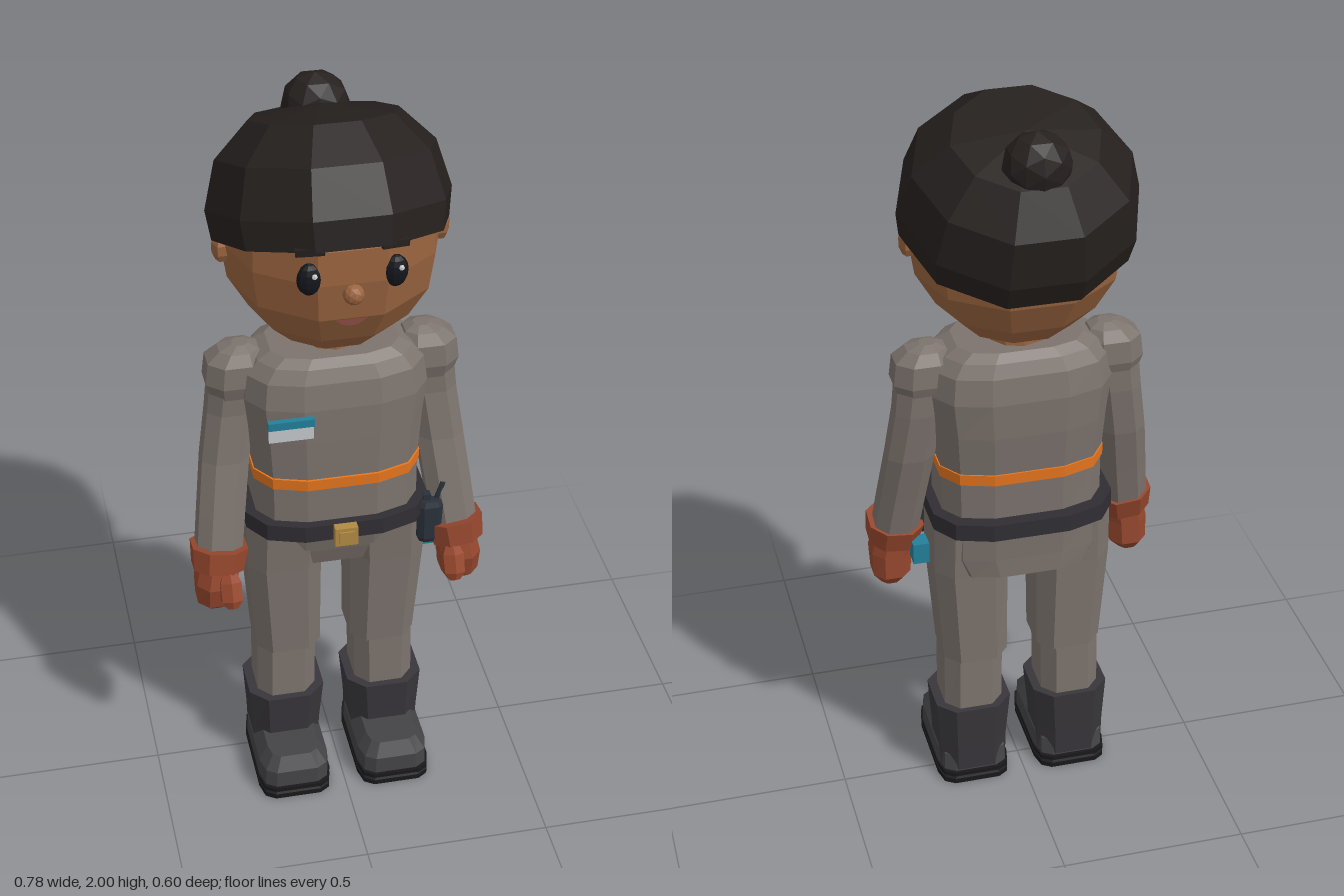
import * as THREE from 'three';

const C = {
  suit: 0x7c736d, skin: 0x9a643f, hair: 0x25201e, glove: 0x96472e, boot: 0x38363a, toe: 0x444346, sole: 0x19191b,
  belt: 0x302e33, orange: 0xe8761e, gold: 0xb08a42, teal: 0x22809a, paper: 0xc4c8cc, radio: 0x2a313b,
  eye: 0x15161c, lip: 0x8a4a42, white: 0xf4f4f4,
};
const mats = {};
const mat = (k) => (mats[k] ??= new THREE.MeshStandardMaterial({ color: C[k], flatShading: true }));

export function createModel() {
  const model = new THREE.Group();
  model.name = 'worker';

  const add = (name, geo, color, x = 0, y = 0, z = 0, parent = model) => {
    const m = new THREE.Mesh(geo, mat(color));
    m.name = name;
    m.position.set(x, y, z);
    parent.add(m);
    return m;
  };
  const group = (name) => {
    const g = new THREE.Group();
    g.name = name;
    model.add(g);
    return g;
  };
  const box = (w, h, d) => new THREE.BoxGeometry(w, h, d);

  // Skin over horizontal rounded rings [y, rx, rz, cx, cz], listed bottom to top
  const loft = (rings, n = 12, power = 0.65) => {
    const soft = (v) => Math.sign(v) * Math.abs(v) ** power;
    const pos = [], idx = [];
    const fit = soft(Math.cos(Math.PI / n)); // flats reach the full radius
    for (const [y, rx, rz, cx = 0, cz = 0] of rings)
      for (let j = 0; j < n; j++) {
        const t = ((j + 0.5) / n) * Math.PI * 2;
        pos.push(cx + (rx * soft(Math.cos(t))) / fit, y, cz + (rz * soft(Math.sin(t))) / fit);
      }
    const top = rings.length - 1, c = rings.length * n;
    for (const r of [rings[0], rings[top]]) pos.push(r[3] ?? 0, r[0], r[4] ?? 0);
    for (let j = 0; j < n; j++) {
      const k = (j + 1) % n;
      for (let i = 0; i < top; i++) {
        const a = i * n + j, b = i * n + k;
        idx.push(a, a + n, b, b, a + n, b + n);
      }
      idx.push(c, j, k, c + 1, top * n + k, top * n + j);
    }
    const g = new THREE.BufferGeometry();
    g.setAttribute('position', new THREE.Float32BufferAttribute(pos, 3));
    g.setIndex(idx);
    const flat = g.toNonIndexed();
    flat.computeVertexNormals();
    return flat;
  };

  // Ten-sided turned shape with a flat side to the front
  const turned = (pts) =>
    new THREE.LatheGeometry(pts.map(([r, y]) => new THREE.Vector2(r, y)), 10, Math.PI / 2);

  // Torso, stripe, belt and hips
  add('torso', loft([
    [0.84, 0.215, 0.14, 0, 0.018], [1.0, 0.215, 0.143, 0, 0.017], [1.14, 0.225, 0.152, 0, 0.012],
    [1.24, 0.237, 0.154, 0, 0.01], [1.31, 0.228, 0.142, 0, 0.01], [1.345, 0.2, 0.125, 0, 0.01],
    [1.365, 0.165, 0.105, 0, 0.01]]), 'suit');
  add('chestStripe', loft([[0.995, 0.219, 0.148, 0, 0.017], [1.027, 0.22, 0.15, 0, 0.017]]), 'orange');
  add('belt', loft([[0.842, 0.242, 0.17, 0, 0.012], [0.89, 0.242, 0.17, 0, 0.012]]), 'belt');
  add('buckle', box(0.06, 0.055, 0.025), 'gold', 0, 0.868, 0.2);
  add('bucklePlate', box(0.04, 0.035, 0.01), 'gold', 0, 0.868, 0.212);
  add('hips', loft([[0.705, 0.185, 0.115, 0, -0.015], [0.76, 0.215, 0.125, 0, -0.005], [0.85, 0.215, 0.14, 0, 0.005]]), 'suit');

  // Name badge on the right chest
  add('badge', box(0.115, 0.058, 0.012), 'paper', -0.138, 1.205, 0.182);
  add('badgeBand', box(0.118, 0.022, 0.016), 'teal', -0.138, 1.225, 0.183);

  // Radio and cloth hanging at the left hip
  const radio = group('radio');
  add('radioBody', loft([[0.745, 0.028, 0.022], [0.76, 0.035, 0.028], [0.86, 0.035, 0.028], [0.875, 0.028, 0.022]], 8),
    'radio', 0.247, 0, 0.1, radio);
  add('antenna', new THREE.CylinderGeometry(0.008, 0.01, 0.07, 6), 'radio', 0.272, 0.89, 0.1, radio).rotation.z = -0.25;
  add('radioKnob', box(0.02, 0.02, 0.02), 'radio', 0.238, 0.883, 0.1, radio);
  add('hipCloth', box(0.05, 0.06, 0.05), 'teal', 0.258, 0.72, 0.035);

  for (const s of [1, -1]) {
    const side = s > 0 ? 'left' : 'right';

    // Leg: thigh overlapping a slimmer shin
    const leg = group(side + 'Leg');
    add('thigh', loft([
      [0.41, 0.088, 0.094, s * 0.13, 0.006], [0.7, 0.1, 0.108, s * 0.14, 0.008], [0.84, 0.104, 0.118, s * 0.135, 0.01]], 8), 'suit', 0, 0, 0, leg);
    add('shin', loft([
      [0.2, 0.08, 0.088, s * 0.138, 0.006], [0.43, 0.081, 0.086, s * 0.135, 0.006]], 8), 'suit', 0, 0, 0, leg);

    // Boot
    const boot = group(side + 'Boot');
    add('bootShaft', loft([
      [0.04, 0.092, 0.094, s * 0.14, 0.006], [0.12, 0.094, 0.098, s * 0.14, 0.007], [0.25, 0.104, 0.105, s * 0.138, 0.008]], 8), 'boot', 0, 0, 0, boot);
    add('bootToe', loft([
      [0.03, 0.098, 0.16, s * 0.14, 0.072], [0.085, 0.096, 0.155, s * 0.14, 0.075], [0.122, 0.07, 0.125, s * 0.14, 0.08]], 12, 0.4), 'toe', 0, 0, 0, boot);
    add('sole', loft([
      [0, 0.1, 0.168, s * 0.14, 0.072], [0.015, 0.1, 0.168, s * 0.14, 0.072], [0.018, 0.092, 0.16, s * 0.14, 0.072],
      [0.024, 0.1, 0.168, s * 0.14, 0.072], [0.036, 0.1, 0.168, s * 0.14, 0.072]], 12, 0.35), 'sole', 0, 0, 0, boot);

    // Arm with rounded shoulder and bent elbow
    const arm = group(side + 'Arm');
    add('sleeve', loft([
      [0.78, 0.06, 0.057, s * 0.318, 0.08], [0.9, 0.061, 0.055, s * 0.303, 0.052], [1.04, 0.062, 0.054, s * 0.285, 0.018],
      [1.18, 0.062, 0.055, s * 0.265, 0.002], [1.27, 0.064, 0.058, s * 0.254, 0.002]], 8, 0.85), 'suit', 0, 0, 0, arm);
    add('shoulder', loft([
      [1.23, 0.06, 0.055, s * 0.256, 0.004], [1.27, 0.077, 0.068, s * 0.252, 0.004], [1.33, 0.074, 0.064, s * 0.248, 0.004],
      [1.358, 0.05, 0.045, s * 0.24, 0.004], [1.37, 0.02, 0.02, s * 0.235, 0.004]], 8, 0.85), 'suit', 0, 0, 0, arm);

    // Glove: cuff, mitten and thumb
    const glove = group(side + 'Glove');
    const cuff = add('cuff', loft([[-0.032, 0.066, 0.064], [0.032, 0.073, 0.07]], 8, 0.85), 'glove', s * 0.32, 0.768, 0.09, glove);
    cuff.rotation.set(-0.2, 0, s * 0.12);
    add('mitten', loft([
      [0.607, 0.026, 0.03, s * 0.335, 0.085], [0.635, 0.05, 0.055, s * 0.332, 0.09], [0.7, 0.054, 0.062, s * 0.33, 0.098],
      [0.755, 0.052, 0.055, s * 0.32, 0.092]], 8, 0.85), 'glove', 0, 0, 0, glove);
    const thumb = add('thumb', loft([[-0.05, 0.014, 0.014], [-0.03, 0.027, 0.027], [0.02, 0.028, 0.028], [0.045, 0.018, 0.018]], 6, 1),
      'glove', s * 0.3, 0.702, 0.162, glove);
    thumb.rotation.x = -0.5;

    // Ear, eye and brow
    add(side + 'Ear', new THREE.SphereGeometry(1, 6, 5), 'skin', s * 0.275, 1.655, 0.01).scale.set(0.025, 0.042, 0.032);
    const eye = group(side + 'Eye');
    add('eyeball', new THREE.SphereGeometry(1, 10, 8), 'eye', s * 0.105, 1.69, 0.26, eye).scale.set(0.031, 0.043, 0.02);
    add('eyeGlint', new THREE.IcosahedronGeometry(0.008, 0), 'white', s * 0.105 + 0.01, 1.705, 0.277, eye);
    add(side + 'Brow', box(0.07, 0.018, 0.02), 'hair', s * 0.102, 1.765, 0.258).rotation.set(0, s * 0.25, s * -0.1);
  }

  // Neck and head
  add('neck', new THREE.CylinderGeometry(0.075, 0.08, 0.12, 10), 'skin', 0, 1.385, 0.005);
  add('head', turned([
    [0, 1.41], [0.145, 1.412], [0.21, 1.475], [0.262, 1.565], [0.278, 1.67], [0.275, 1.76], [0.23, 1.86], [0, 1.93]]), 'skin', 0, 0, 0.005);
  add('nose', new THREE.IcosahedronGeometry(0.027, 1), 'skin', 0, 1.643, 0.272);

  // Smiling mouth, flat along the top
  const smile = new THREE.Shape();
  smile.moveTo(-0.04, 0.008);
  smile.quadraticCurveTo(0, 0.014, 0.04, 0.008);
  smile.quadraticCurveTo(0, -0.03, -0.04, 0.008);
  add('mouth', new THREE.ExtrudeGeometry(smile, { depth: 0.02, bevelEnabled: false, curveSegments: 5 }), 'lip', 0, 1.553, 0.232);

  // Hair cap tipped back, with a bun
  const cap = add('hairCap', turned([
    [0.27, -0.09], [0.298, -0.095], [0.309, -0.02], [0.276, 0.1], [0.187, 0.188], [0, 0.212]]), 'hair', 0, 1.764, -0.022);
  cap.rotation.x = -0.34;
  add('hairBun', new THREE.IcosahedronGeometry(0.087, 1), 'hair', 0, 1.915, -0.187).scale.z = 0.88;

  return model;
}
